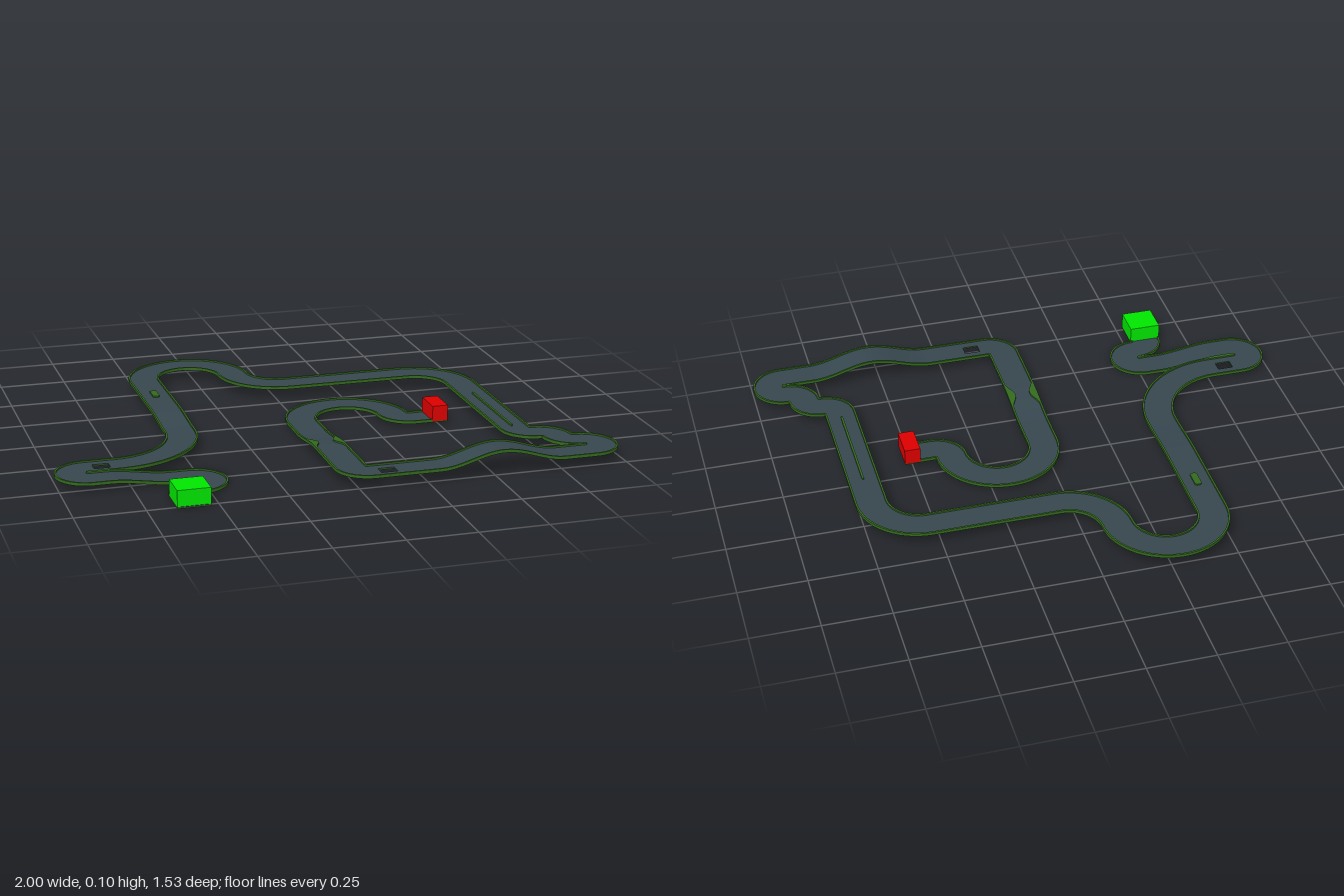
import * as THREE from 'three';

const U = 1 / 17;      // one course unit
const STEP = 0.1;      // station spacing on straights, in units
const CURB = 0.12, CURB_TOP = 0.2, BASE_TOP = 0.06, DECK_TOP = 0.1;

// Course in order: straights have len, bends have r and turn (degrees, + is right).
const COURSE = [
  { len: 2 }, { r: 1, turn: 90 }, { r: 1, turn: -180 },
  { len: 6, rise: 0.42, at: 3 }, { r: 1, turn: 180 },
  { len: 2, hole: 1 }, { r: 5, turn: -90 },
  { len: 10, rise: 0.22, at: 2, island: [7, 0.6, 0.22] },
  { r: 3, turn: 180 }, { r: 3, turn: -90 }, { len: 8 }, { r: 3, turn: 90 },
  { len: 10, island: [6, 3.5, 0.07] },
  { r: 1, turn: -90 }, { r: 1, turn: 90 }, { r: 1, turn: -90 }, { r: 1, turn: 180 },
  { len: 14, bump: 6, hole: 13 }, { r: 1, turn: 90 },
  { len: 10, rise: -0.4, at: 6, pinch: 5 },
  { r: 3, turn: 180 }, { r: 1, turn: -90 }, { len: 2 },
];

// Smooth hump: 1 at the middle, 0 beyond the half width.
const hump = (d, half) => (Math.abs(d) < half ? (1 + Math.cos(Math.PI * d / half)) / 2 : 0);

// Walk the course, collecting stations and the places of holes and islands.
function surveyCourse() {
  const stations = [], holes = [], islands = [];
  let x = -10, z = 13, a = -Math.PI / 2, level = 0;
  const add = (px, pz, pa, y, pinch = 0) => stations.push({ x: px, z: pz, a: pa, y, pinch });
  add(x, z, a, 0);
  for (const seg of COURSE) {
    const first = stations.length - 1;
    if (seg.len) {
      const n = Math.round(seg.len / STEP);
      for (let i = 1; i <= n; i++) {
        const t = i * STEP;
        let y = level;
        if (seg.rise) y += seg.rise * THREE.MathUtils.smoothstep(t, seg.at - 2, seg.at + 2);
        if (seg.bump) y += 0.8 * hump(t - seg.bump, 4);
        add(x + Math.cos(a) * t, z + Math.sin(a) * t, a, y, seg.pinch ? hump(t - seg.pinch, 1.2) : 0);
      }
      const index = (t) => first + Math.round(t / STEP);
      if (seg.hole) holes.push([index(seg.hole - 0.5), index(seg.hole + 0.5)]);
      if (seg.island) {
        const [mid, half, w] = seg.island;
        islands.push([index(mid - half), index(mid + half), w]);
      }
      level += seg.rise || 0;
      x += Math.cos(a) * seg.len;
      z += Math.sin(a) * seg.len;
    } else {
      const side = Math.sign(seg.turn), n = Math.abs(seg.turn) / 6;
      const cx = x - Math.sin(a) * side * seg.r, cz = z + Math.cos(a) * side * seg.r;
      const a0 = a;
      for (let i = 1; i <= n; i++) {
        a = a0 + side * i * Math.PI / 30;
        x = cx + Math.sin(a) * side * seg.r;
        z = cz - Math.cos(a) * side * seg.r;
        add(x, z, a, level);
      }
    }
  }
  return { stations, holes, islands };
}

// Sweep a rectangular section along stations; lo and hi are sideways offsets per station.
function sweep(stations, from, to, lo, hi, h0, h1) {
  const pos = [];
  const quad = (p, q, r, s) => pos.push(...p, ...q, ...r, ...p, ...r, ...s);
  const ring = (i) => {
    const st = stations[i];
    const at = (off, h) => [
      (st.x - Math.sin(st.a) * off) * U, (st.y + h) * U, (st.z + Math.cos(st.a) * off) * U];
    const l = lo(st, i), r = hi(st, i);
    return [at(l, h0), at(r, h0), at(r, h1), at(l, h1)];
  };
  let prev = ring(from);
  quad(...prev);
  for (let i = from + 1; i <= to; i++) {
    const next = ring(i);
    for (let k = 0; k < 4; k++) {
      const m = (k + 1) % 4;
      quad(prev[k], next[k], next[m], prev[m]);
    }
    prev = next;
  }
  quad(...prev.slice().reverse());
  const g = new THREE.BufferGeometry();
  g.setAttribute('position', new THREE.Float32BufferAttribute(pos, 3));
  g.computeVertexNormals();
  return g;
}

export function createModel() {
  const model = new THREE.Group();
  model.name = 'miniatureCourse';
  const grass = new THREE.MeshStandardMaterial({ color: 0x33691e });
  const slate = new THREE.MeshStandardMaterial({ color: 0x37474f });
  const green = new THREE.MeshStandardMaterial({ color: 0x00e600 });
  const red = new THREE.MeshStandardMaterial({ color: 0xdd0000 });

  const { stations, holes, islands } = surveyCourse();
  const last = stations.length - 1;
  const add = (name, geometry, material) => {
    const mesh = new THREE.Mesh(geometry, material);
    mesh.name = name;
    model.add(mesh);
    return mesh;
  };
  const strip = (name, mat, from, to, lo, hi, h0, h1) =>
    add(name, sweep(stations, from, to, () => lo, () => hi, h0, h1), mat);

  // Base and road surface, split around the through holes
  const road = (from, to, lo, hi) => {
    strip('base', grass, from, to, lo, hi, 0, BASE_TOP);
    strip('roadSurface', slate, from, to, lo, hi, BASE_TOP, DECK_TOP);
  };
  const edge = 1 - CURB;
  let start = 0;
  for (const [a, b] of holes) {
    road(start, a, -edge, edge);
    road(a, b, -edge, -0.36);
    road(a, b, 0.36, edge);
    start = b;
  }
  road(start, last, -edge, edge);

  // Curbs, bulging inward at the narrow gate
  const inner = (st) => edge - 0.4 * st.pinch;
  add('leftCurb', sweep(stations, 0, last, () => -1, (st) => -inner(st), 0, CURB_TOP), grass);
  add('rightCurb', sweep(stations, 0, last, inner, () => 1, 0, CURB_TOP), grass);

  // Raised islands with tapered ends in the middle of the road
  for (const [a, b, w] of islands) {
    const half = (st, i) => w * (i === a || i === b ? 0.5 : 1);
    add('island', sweep(stations, a, b, (s, i) => -half(s, i), half, DECK_TOP, CURB_TOP), grass);
  }

  // Start and finish blocks
  const block = (name, mat, x, z, w, d, bottom) => {
    const mesh = add(name, new THREE.BoxGeometry(w * U, U, d * U), mat);
    mesh.position.set(x * U, (bottom + 0.5) * U, z * U);
  };
  block('startBlock', green, -10, 12, 2.01, 2.01, 0.12);
  block('finishBlock', red, 8.5, 2, 1.01, 2.01, 0.3);

  return model;
}
